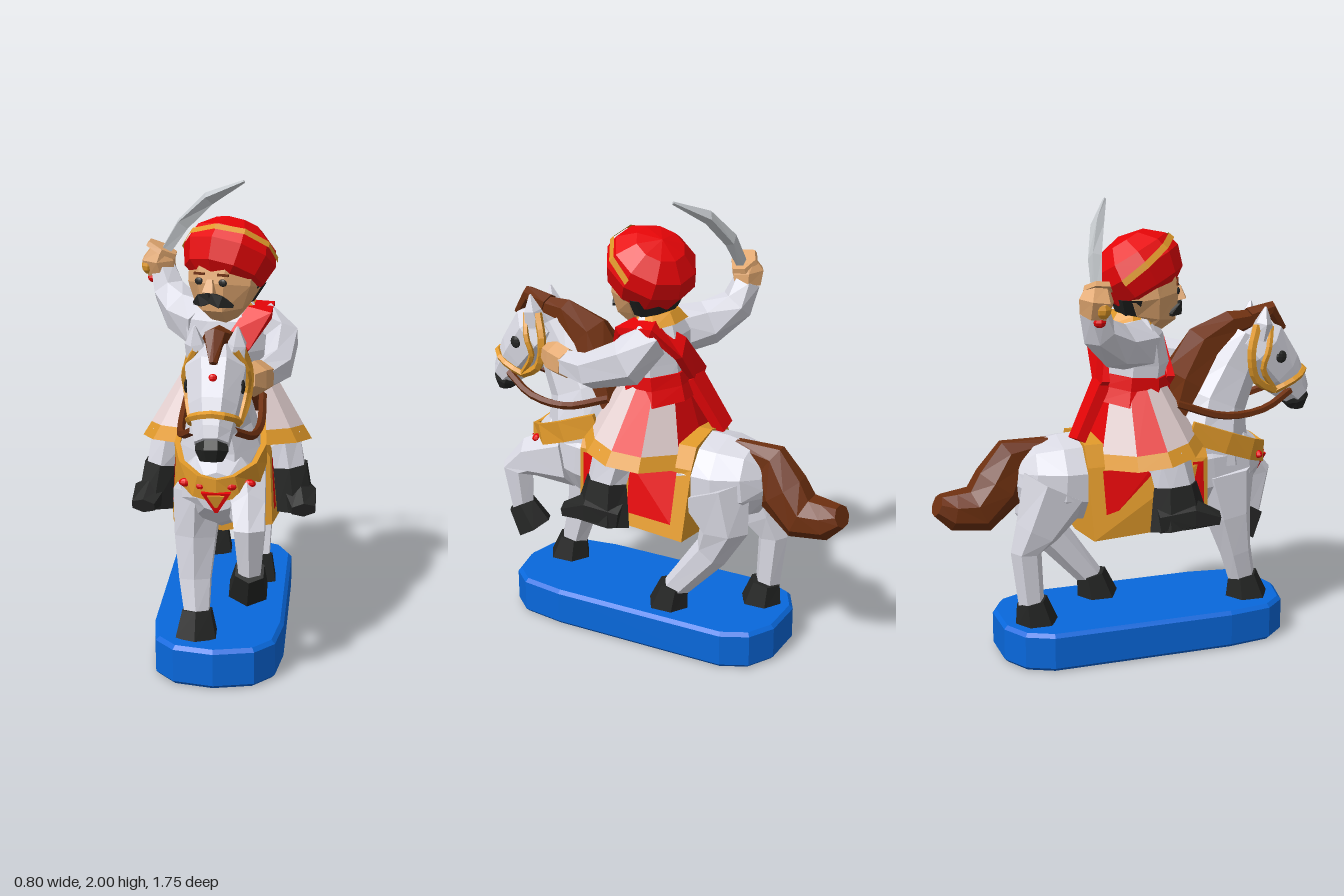
import * as THREE from 'three';

const mat = (name, color, side = THREE.FrontSide) => {
  const m = new THREE.MeshStandardMaterial({ color, side });
  m.name = name;
  return m;
};

export function createModel() {
  const D = THREE.DoubleSide;
  const white = mat('white', 0xdadae4), red = mat('red', 0xee0508, D), gold = mat('gold', 0xe0992a, D),
    brown = mat('brown', 0x6e3010), black = mat('black', 0x242524), skin = mat('skin', 0xe2a870),
    blue = mat('blue', 0x0868dc), pale = mat('pale pink', 0xead6d6, D), steel = mat('steel', 0xc6cace);

  const model = new THREE.Group();
  model.name = 'riderOnHorse';
  const part = (name) => {
    const g = new THREE.Group();
    g.name = name;
    model.add(g);
    return g;
  };
  const horse = part('horse'), tack = part('tack'), rider = part('rider');

  // Adds a faceted mesh
  const add = (parent, name, geo, material) => {
    const g = geo.index ? geo.toNonIndexed() : geo;
    g.computeVertexNormals();
    const mesh = new THREE.Mesh(g, material);
    mesh.name = name;
    parent.add(mesh);
    return mesh;
  };
  const indexed = (pos, idx) => {
    const g = new THREE.BufferGeometry();
    g.setAttribute('position', new THREE.Float32BufferAttribute(pos, 3));
    g.setIndex(idx);
    return g;
  };

  // Closed tube of varying section: rows are [x, y, z, half width along ref, half depth]
  const loft = (parent, name, material, rows, sides = 8, ref = new THREE.Vector3(1, 0, 0)) => {
    const pts = rows.map((r) => new THREE.Vector3(r[0], r[1], r[2]));
    const pos = [], idx = [], k = 1 / Math.cos(Math.PI / sides), last = rows.length - 1;
    rows.forEach((r, j) => {
      const t = pts[Math.min(j + 1, last)].clone().sub(pts[Math.max(j - 1, 0)]).normalize();
      const s = ref.clone().addScaledVector(t, -ref.dot(t)).normalize();
      const u = t.clone().cross(s);
      for (let i = 0; i < sides; i++) {
        const a = ((i + 0.5) / sides) * Math.PI * 2;
        const p = pts[j].clone().addScaledVector(s, Math.cos(a) * r[3] * k).addScaledVector(u, Math.sin(a) * r[4] * k);
        pos.push(p.x, p.y, p.z);
        const n = (i + 1) % sides, o = j * sides;
        if (j < last) idx.push(o + i, o + n, o + sides + n, o + i, o + sides + n, o + sides + i);
      }
    });
    const c0 = rows.length * sides;
    pos.push(...pts[0].toArray(), ...pts[last].toArray());
    for (let i = 0; i < sides; i++) {
      const n = (i + 1) % sides, o = last * sides;
      idx.push(c0, n, i, c0 + 1, o + i, o + n);
    }
    return add(parent, name, indexed(pos, idx), material);
  };
  const UP = new THREE.Vector3(0, 1, 0);
  const mirrored = (half, middle) => [...half, middle, ...half.slice().reverse().map(([x, ...r]) => [-x, ...r])];
  const cord = (parent, name, material, pts, r) => add(parent, name, new THREE.TubeGeometry(
    new THREE.CatmullRomCurve3(pts.map((p) => new THREE.Vector3(...p))), 10, r, 5), material);
  const dot = (parent, name, material, p, s) => {
    const m = add(parent, name, new THREE.SphereGeometry(1, 8, 6), material);
    m.position.set(...p);
    m.scale.set(...s);
    return m;
  };

  // Base
  const outline = [[0.16, 0.675], [0.235, 0.59], [0.262, 0.4], [0.262, -0.42], [0.21, -0.53], [0.1, -0.59]];
  const ring = [[0, 0.71], ...outline, ...outline.slice().reverse().map(([x, z]) => [-x, z])];
  const base = add(model, 'base', new THREE.ExtrudeGeometry(
    new THREE.Shape(ring.map(([x, z]) => new THREE.Vector2(x - 0.008, -z))),
    { depth: 0.14, bevelThickness: 0.016, bevelSize: 0.016, bevelSegments: 1 }), blue);
  base.rotation.x = -Math.PI / 2;
  base.position.y = 0.016;

  // Horse body, neck, head
  loft(horse, 'body', white, [[0, 0.82, 0.61, 0.08, 0.08], [0, 0.82, 0.53, 0.15, 0.15], [0, 0.8, 0.35, 0.18, 0.2],
    [0, 0.78, 0.1, 0.2, 0.21], [0, 0.79, -0.15, 0.2, 0.2], [0, 0.8, -0.34, 0.21, 0.18],
    [0, 0.81, -0.46, 0.16, 0.15], [0, 0.82, -0.52, 0.07, 0.08]], 10);
  loft(horse, 'neck', white, [[0, 0.82, 0.37, 0.17, 0.2], [0, 0.98, 0.37, 0.165, 0.175], [0, 1.1, 0.4, 0.13, 0.155],
    [0, 1.24, 0.48, 0.1, 0.13], [0, 1.38, 0.56, 0.08, 0.09]]);
  loft(horse, 'head', white, [[0, 1.38, 0.55, 0.09, 0.09], [0, 1.32, 0.62, 0.12, 0.13], [0, 1.2, 0.72, 0.097, 0.11],
    [0, 1.12, 0.79, 0.075, 0.08], [0, 1.085, 0.82, 0.066, 0.06]]);
  loft(horse, 'muzzle', black, [[0, 1.1, 0.795, 0.06, 0.055], [0, 1.06, 0.815, 0.064, 0.057], [0, 1.02, 0.82, 0.045, 0.032]]);
  loft(horse, 'mane', brown, [[0, 1.45, 0.64, 0.03, 0.03], [0, 1.43, 0.49, 0.055, 0.05], [0, 1.35, 0.36, 0.09, 0.08],
    [0, 1.2, 0.26, 0.135, 0.075], [0, 1.07, 0.2, 0.15, 0.04]], 6);
  loft(horse, 'forelock', brown, [[0, 1.45, 0.58, 0.05, 0.04], [0, 1.485, 0.68, 0.04, 0.03], [0, 1.39, 0.745, 0.015, 0.015]], 6);
  loft(horse, 'tail', brown, [[0, 0.95, -0.36, 0.04, 0.03], [0, 0.9, -0.52, 0.055, 0.095], [0, 0.785, -0.585, 0.085, 0.115],
    [0, 0.685, -0.68, 0.1, 0.1], [0, 0.69, -0.795, 0.088, 0.08], [0, 0.72, -0.862, 0.065, 0.045]]);
  for (const s of [-1, 1]) {
    loft(horse, 'horseEar', white, [[s * 0.07, 1.37, 0.6, 0.04, 0.05], [s * 0.085, 1.44, 0.61, 0.033, 0.033], [s * 0.085, 1.51, 0.62, 0.004, 0.004]], 5);
    dot(horse, 'horseEye', black, [s * 0.111, 1.285, 0.69], [0.01, 0.029, 0.026]);
  }
  dot(horse, 'foreheadJewel', red, [0, 1.335, 0.76], [0.018, 0.018, 0.012]);

  // Horse legs: first the limb, then the hoof
  const legs = {
    frontRightLeg: [[[-0.09, 0.78, 0.42, 0.1, 0.14], [-0.1, 0.58, 0.45, 0.085, 0.095], [-0.1, 0.4, 0.49, 0.065, 0.065], [-0.09, 0.25, 0.53, 0.05, 0.055]],
      [[-0.09, 0.275, 0.53, 0.06, 0.06], [-0.09, 0.16, 0.55, 0.085, 0.09]]],
    frontLeftLeg: [[[0.1, 0.78, 0.43, 0.09, 0.13], [0.13, 0.745, 0.62, 0.068, 0.08], [0.14, 0.69, 0.68, 0.062, 0.068], [0.14, 0.5, 0.66, 0.045, 0.048]],
      [[0.14, 0.51, 0.67, 0.058, 0.058], [0.13, 0.4, 0.605, 0.078, 0.075]]],
    rearLeftLeg: [[[0.12, 0.78, -0.3, 0.11, 0.17], [0.13, 0.6, -0.37, 0.08, 0.1], [0.13, 0.48, -0.31, 0.055, 0.07], [0.13, 0.26, -0.13, 0.048, 0.05]],
      [[0.13, 0.28, -0.13, 0.06, 0.06], [0.13, 0.16, -0.1, 0.08, 0.085]]],
    rearRightLeg: [[[-0.11, 0.78, -0.35, 0.1, 0.15], [-0.11, 0.59, -0.45, 0.075, 0.09], [-0.11, 0.5, -0.5, 0.052, 0.06], [-0.11, 0.26, -0.48, 0.046, 0.05]],
      [[-0.1, 0.275, -0.475, 0.06, 0.06], [-0.1, 0.16, -0.455, 0.08, 0.085]]],
  };
  for (const [name, [limb, hoof]] of Object.entries(legs)) {
    loft(horse, name, white, limb, 6);
    loft(horse, name + 'Hoof', black, hoof, 6);
  }

  // Saddle cloth, flaring towards the back, with red panels
  const clothX = (y, z) => 0.2 + ((0.88 - y) / 0.3) * (0.055 - 0.14 * z);
  const arch = [[0, 0.545], ...mirrored([[0.25, 0.58], [0.2, 0.88], [0.15, 0.97]], [0, 1])];
  const cloth = new THREE.ExtrudeGeometry(new THREE.Shape(arch.map((p) => new THREE.Vector2(...p))),
    { depth: 0.55, bevelEnabled: false }).translate(0, 0, -0.245);
  const cp = cloth.attributes.position;
  for (let i = 0; i < cp.count; i++) {
    if (Math.abs(cp.getX(i)) > 0.24) cp.setX(i, Math.sign(cp.getX(i)) * clothX(0.58, cp.getZ(i)));
  }
  add(tack, 'saddleCloth', cloth, gold);
  for (const s of [-1, 1]) {
    for (const [z0, z1] of [[-0.18, 0.05], [0.235, 0.285]]) {
      const corners = [[0.64, z0], [0.64, z1], [0.865, z1], [0.865, z0]];
      add(tack, 'clothPanel', indexed(corners.flatMap(([y, z]) => [s * (clothX(y, z) + 0.006), y, z]),
        s > 0 ? [0, 2, 1, 0, 3, 2] : [0, 1, 2, 0, 2, 3]), red);
    }
    // Bridle cheek straps and reins
    cord(tack, 'cheekStrap', gold, [[s * 0.09, 1.13, 0.67], [s * 0.115, 1.19, 0.57], [s * 0.125, 1.31, 0.54], [s * 0.09, 1.43, 0.58]], 0.02);
    cord(tack, 'browStrap', gold, [[s * 0.095, 1.13, 0.67], [s * 0.12, 1.24, 0.6], [s * 0.127, 1.32, 0.62], [s * 0.08, 1.42, 0.65]], 0.014);
    cord(tack, 'rein', brown, [[s * 0.08, 1.12, 0.75], [s * 0.14, 1.06, 0.6], [s * 0.165, 1.05, 0.4], [s * 0.16, 1.12, 0.18]], 0.018);
  }
  cord(tack, 'noseband', gold, mirrored([[0.092, 1.13, 0.67], [0.097, 1.165, 0.75], [0.058, 1.2, 0.825]], [0, 1.21, 0.835]), 0.016);

  // Breast strap with red drops
  loft(tack, 'breastStrap', gold, mirrored([[0.165, 0.99, 0.24], [0.18, 0.93, 0.41], [0.155, 0.885, 0.53], [0.08, 0.85, 0.615]], [0, 0.835, 0.632])
    .map((p) => [...p, 0.048, 0.012]), 4, UP);
  for (const x of [-0.13, -0.06, 0.06, 0.13]) dot(tack, 'strapStud', red, [x, 0.85, 0.65 - Math.abs(x) * 0.55], [0.028, 0.018, 0.02]);
  loft(tack, 'strapPendant', red, [[0, 0.83, 0.635, 0.06, 0.016], [0, 0.74, 0.625, 0.006, 0.006]], 4);
  loft(tack, 'pendantTrim', gold, [[0, 0.82, 0.643, 0.035, 0.016], [0, 0.765, 0.638, 0.005, 0.006]], 4);

  // Coat skirt in coloured sectors with a gold hem, hanging lower behind
  const skirt = new THREE.Group();
  skirt.name = 'coatSkirt';
  skirt.position.set(0, 1.2, 0.015);
  skirt.rotation.x = -0.13;
  rider.add(skirt);
  const sector = (name, material, r0, r1, y0, y1, from, to) => {
    const rad = Math.PI / 180;
    const m = add(skirt, name, new THREE.CylinderGeometry(r0, r1, y0 - y1, Math.max(1, Math.round((to - from) / 30)),
      1, true, from * rad, (to - from) * rad), material);
    m.position.y = (y0 + y1) / 2;
    m.scale.z = 0.75;
  };
  [[-85, 85, pale], [85, 115, red], [115, 150, pale], [150, 210, red], [210, 245, pale], [245, 275, red]].forEach(([a, b, m]) => {
    sector('skirtPanel', m, 0.19, 0.335, 0, -0.245, a, b);
    sector('skirtHem', gold, 0.335, 0.372, -0.245, -0.305, a, b);
  });

  // Torso, waist sash and the strap over the left shoulder
  loft(rider, 'torso', white, [[0, 1.12, 0.01, 0.17, 0.13], [0, 1.3, 0.03, 0.17, 0.14], [0, 1.42, 0.02, 0.18, 0.12], [0, 1.5, 0.02, 0.1, 0.08]]);
  loft(rider, 'waistSash', red, [[0, 1.12, 0.01, 0.2, 0.165], [0, 1.19, 0.02, 0.18, 0.155], [0, 1.25, 0.025, 0.177, 0.148]]);
  loft(rider, 'sashTail', red, [[-0.04, 1.22, -0.13, 0.055, 0.025], [-0.09, 0.98, -0.26, 0.05, 0.022]], 4);
  loft(rider, 'collar', gold, [[0, 1.45, 0.02, 0.15, 0.115], [0, 1.5, 0.03, 0.1, 0.09]]);
  loft(rider, 'shoulderStrap', red, [[-0.08, 1.2, 0.16], [0.06, 1.35, 0.17], [0.14, 1.46, 0.1], [0.145, 1.47, -0.03],
    [0.06, 1.37, -0.12], [-0.08, 1.2, -0.14]].map((p) => [...p, 0.055, 0.018]), 4);
  for (const s of [-1, 1]) {
    // Rider's legs and boots
    loft(rider, 'trouserLeg', white, [[s * 0.14, 0.98, 0.03, 0.08, 0.08], [s * 0.255, 0.89, 0.11, 0.075, 0.085], [s * 0.28, 0.77, 0.13, 0.065, 0.08]], 6);
    loft(rider, 'bootShaft', black, [[s * 0.28, 0.795, 0.125, 0.072, 0.085], [s * 0.305, 0.61, 0.14, 0.078, 0.12]], 6);
    loft(rider, 'bootFoot', black, [[s * 0.3, 0.65, 0.04, 0.065, 0.055], [s * 0.325, 0.67, 0.19, 0.07, 0.062], [s * 0.345, 0.645, 0.3, 0.05, 0.028]], 6);
  }

  // Arms and hands
  loft(rider, 'leftArm', white, [[0.13, 1.41, 0, 0.08, 0.08], [0.235, 1.33, 0.05, 0.07, 0.09], [0.225, 1.26, 0.24, 0.058, 0.07], [0.16, 1.25, 0.4, 0.05, 0.052]], 6);
  loft(rider, 'leftHand', skin, [[0.165, 1.25, 0.38, 0.055, 0.06], [0.14, 1.26, 0.46, 0.055, 0.065], [0.12, 1.27, 0.52, 0.03, 0.04]], 6);
  loft(rider, 'rightArm', white, [[-0.09, 1.38, 0.02, 0.1, 0.1], [-0.21, 1.41, -0.12, 0.085, 0.085], [-0.285, 1.49, -0.22, 0.067, 0.067], [-0.315, 1.59, -0.25, 0.052, 0.055]], 6);
  loft(rider, 'rightHand', skin, [[-0.32, 1.57, -0.25, 0.06, 0.055], [-0.335, 1.63, -0.245, 0.07, 0.065], [-0.32, 1.68, -0.235, 0.04, 0.045]], 6);
  dot(rider, 'cuffTassel', red, [-0.355, 1.545, -0.24], [0.03, 0.025, 0.03]);

  // Curved sword
  loft(rider, 'blade', steel, [[-0.31, 1.65, -0.235, 0.02, 0.016], [-0.22, 1.79, -0.215, 0.026, 0.02],
    [-0.1, 1.91, -0.165, 0.024, 0.018], [0.06, 1.995, -0.08, 0.005, 0.005]], 4);
  loft(rider, 'swordGuard', skin, [[-0.322, 1.665, -0.235, 0.07, 0.055], [-0.312, 1.685, -0.233, 0.065, 0.05]], 6);
  dot(rider, 'pommel', gold, [-0.38, 1.6, -0.23], [0.03, 0.04, 0.035]);

  // Rider's head, turned slightly to the right
  const head = new THREE.Group();
  head.name = 'riderHead';
  head.position.z = 0.06;
  head.rotation.y = -0.36;
  rider.add(head);
  loft(head, 'face', skin, [[0, 1.44, 0.01, 0.06, 0.06], [0, 1.5, 0.04, 0.11, 0.115], [0, 1.58, 0.03, 0.145, 0.14], [0, 1.72, 0, 0.15, 0.14]]);
  loft(head, 'hair', black, [[0, 1.5, -0.03, 0.1, 0.07], [0, 1.58, -0.03, 0.15, 0.1]]);
  loft(head, 'nose', skin, [[0, 1.62, 0.165, 0.012, 0.012], [0, 1.565, 0.178, 0.025, 0.022]], 4);
  for (const s of [-1, 1]) {
    loft(head, 'moustache', black, [[0, 1.545, 0.17, 0.022, 0.012], [s * 0.045, 1.53, 0.165, 0.026, 0.014], [s * 0.09, 1.51, 0.135, 0.006, 0.008]], 4, UP);
    dot(head, 'riderEye', black, [s * 0.055, 1.61, 0.165], [0.02, 0.016, 0.008]);
    const brow = add(head, 'eyebrow', new THREE.BoxGeometry(0.05, 0.01, 0.009), brown);
    brow.position.set(s * 0.055, 1.642, 0.162);
  }

  // Turban, tilted back, with a gold band across the front
  const turban = new THREE.Group();
  turban.name = 'turban';
  turban.position.set(0.004, 1.695, -0.012);
  turban.rotation.set(-0.55, 0, -0.06);
  head.add(turban);
  const lathe = (name, material, pts, ...rest) => add(turban, name,
    new THREE.LatheGeometry(pts.map((p) => new THREE.Vector2(...p)), ...rest), material);
  lathe('turbanWrap', red, [[0, -0.14], [0.1, -0.14], [0.175, -0.09], [0.205, 0], [0.185, 0.07], [0.11, 0.135], [0, 0.16]], 10);
  const band = lathe('turbanBand', gold, [[0.21, 0.005], [0.204, 0.034]], 6, -Math.PI * 0.6, Math.PI * 1.2);
  band.rotation.set(-0.14, 0, 0.12);

  return model;
}
